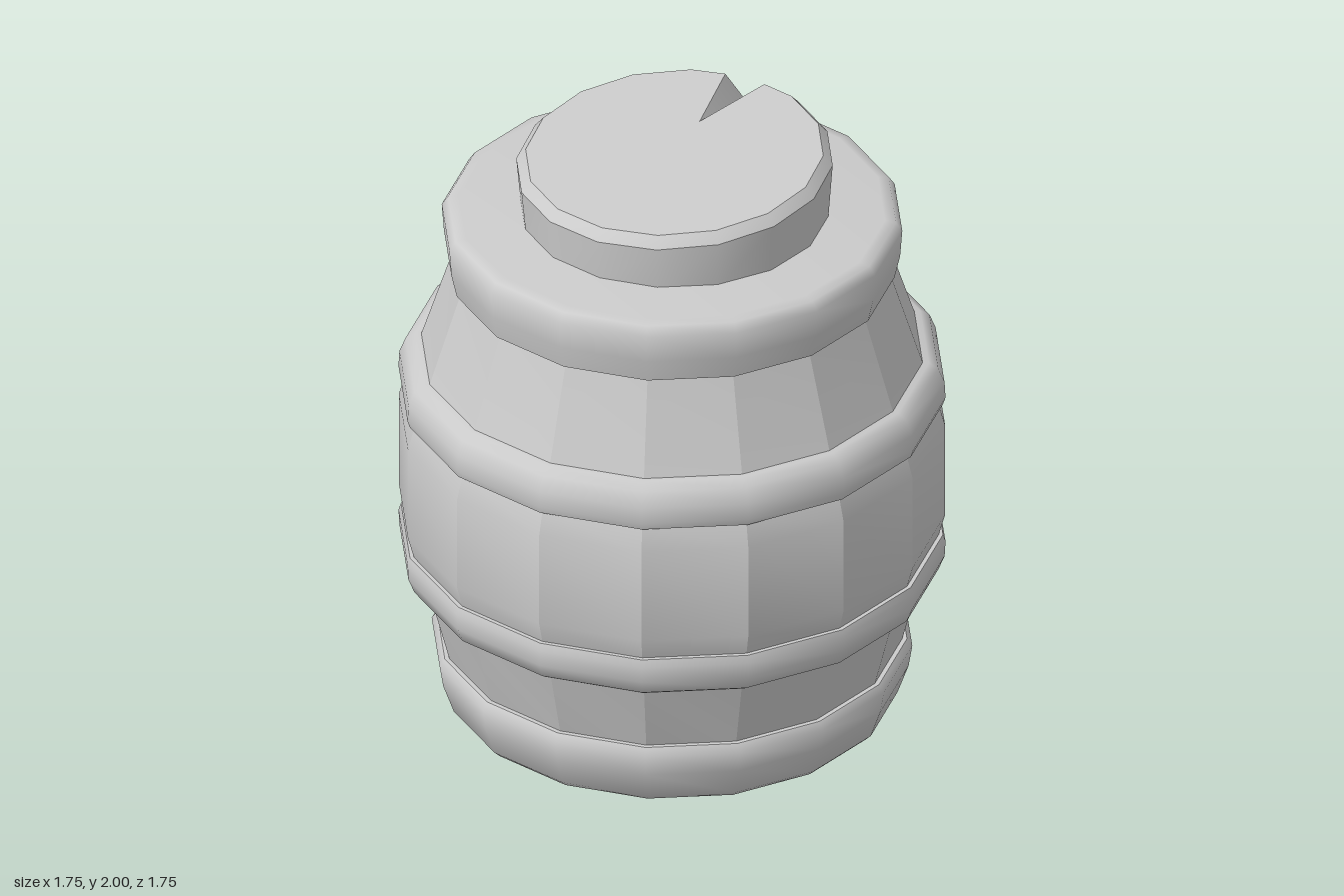
import * as THREE from 'three';
import { toCreasedNormals } from 'three/addons/utils/BufferGeometryUtils.js';

const SIDES = 16;
const material = new THREE.MeshStandardMaterial({ color: 0xcccccc });

// Turned part: [radius, height] points run from the bottom, round the outside, to the top
function turned(name, profile, crease) {
  const points = profile.map(([r, y]) => new THREE.Vector2(r, y));
  const geometry = toCreasedNormals(new THREE.LatheGeometry(points, SIDES), crease);
  const mesh = new THREE.Mesh(geometry, material);
  mesh.name = name;
  return mesh;
}

// Slanted lid plug with a V-shaped notch cut into its rim
function createPlug() {
  const topY = (x) => 1.972 + 0.06 * x;
  const columns = [];
  const addColumn = (degrees, scale = 1, notchY = null) => {
    const a = THREE.MathUtils.degToRad(degrees);
    const at = (r, y) => {
      const x = 0.01 + Math.cos(a) * r * scale;
      return new THREE.Vector3(x, y(x), -Math.sin(a) * r * scale);
    };
    const cut = notchY !== null;
    columns.push([
      at(0.49, () => 1.75),
      at(0.505, (x) => (cut ? notchY : topY(x) - 0.035)),
      at(cut ? 0.505 : 0.475, (x) => (cut ? notchY : topY(x))),
    ]);
  };
  for (let i = 0; i < SIDES; i++) {
    if (i === 1) {
      addColumn(13.8, 0.985);
      addColumn(22.5, 1, 1.87);
      addColumn(31.2, 0.985);
    } else addColumn((i * 360) / SIDES);
  }

  // Walls, then a top fan starting at the inner tip of the notch
  const tip = new THREE.Vector3(0.18, topY(0.18), -0.085);
  const corners = [];
  columns.forEach((p, i) => {
    const q = columns[(i + 1) % columns.length];
    for (let k = 0; k < 2; k++) {
      corners.push(p[k], q[k], q[k + 1], p[k], q[k + 1], p[k + 1]);
    }
    corners.push(tip, p[2], q[2]);
  });
  const geometry = toCreasedNormals(new THREE.BufferGeometry().setFromPoints(corners), 0.75);
  const mesh = new THREE.Mesh(geometry, material);
  mesh.name = 'notchedPlug';
  return mesh;
}

export function createModel() {
  const group = new THREE.Group();
  group.name = 'barrel';

  // Faceted staves
  group.add(turned('staves', [
    [0.71, 0.15], [0.735, 0.22], [0.8, 0.47], [0.85, 0.61], [0.872, 0.69],
    [0.872, 1.02], [0.85, 1.1], [0.8, 1.25], [0.7, 1.56], [0.69, 1.6],
  ], 0.3));

  // Base ring with a recessed bottom
  group.add(turned('baseRing', [
    [0, 0.06], [0.57, 0.06], [0.6, 0.02], [0.65, 0], [0.7, 0], [0.72, 0.02],
    [0.755, 0.12], [0.767, 0.195], [0.75, 0.22], [0.68, 0.22],
  ], 0.95));

  // Two hoops, mirrored about the middle of the barrel
  const hoop = [
    [0.77, 1.1], [0.865, 1.1], [0.873, 1.125], [0.87, 1.18], [0.85, 1.23], [0.82, 1.25], [0.76, 1.25],
  ];
  group.add(turned('upperHoop', hoop, 0.95));
  group.add(turned('lowerHoop', hoop.map(([r, y]) => [r, 1.715 - y]).reverse(), 0.95));

  // Collar and its flat top
  group.add(turned('collar', [
    [0.62, 1.56], [0.71, 1.56], [0.728, 1.64], [0.735, 1.735], [0.715, 1.765], [0.68, 1.77], [0, 1.77],
  ], 0.95));

  group.add(createPlug());
  return group;
}
